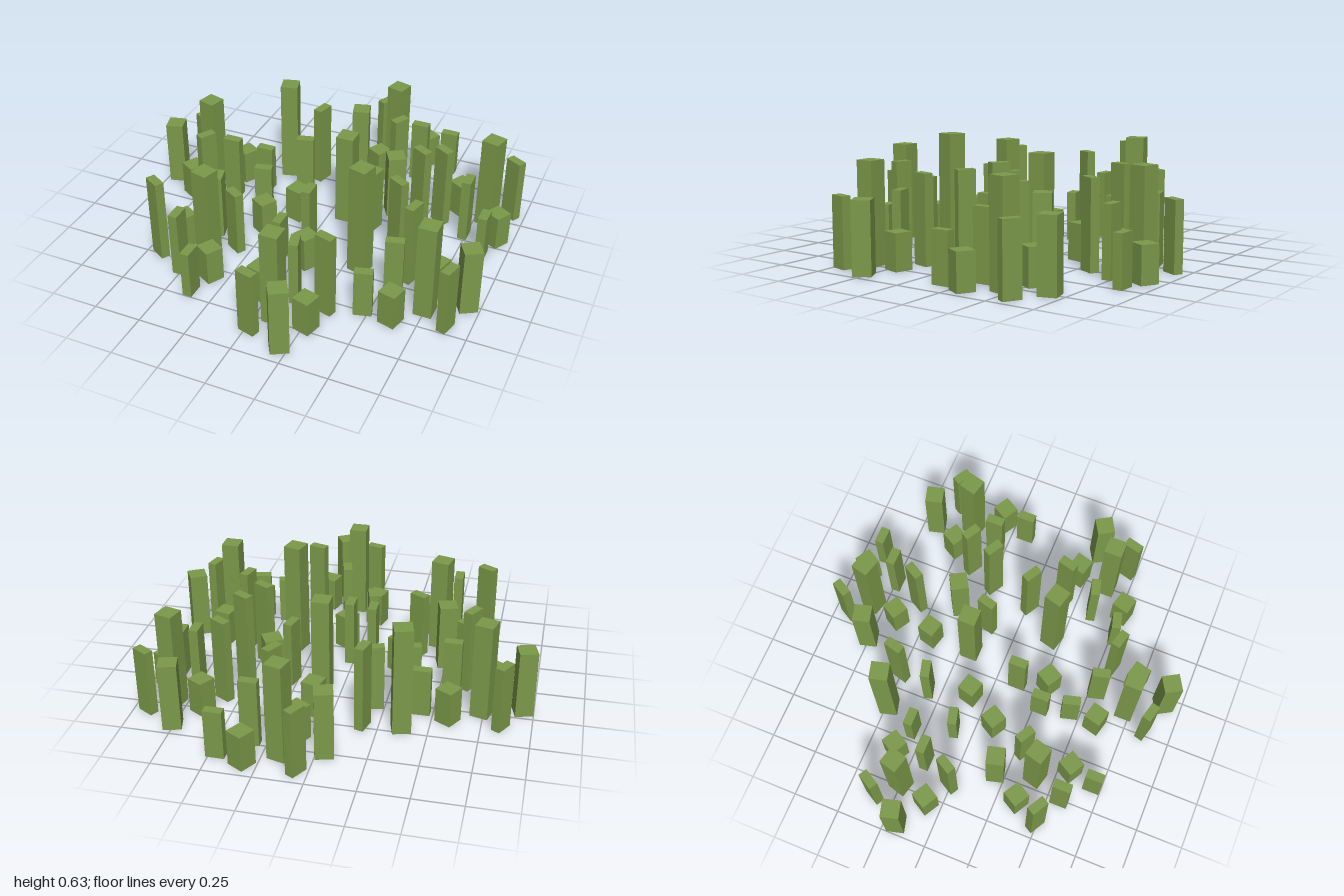
import * as THREE from 'three';

const WIDE = 0.094, THIN = 0.048;

// Blades of one tuft: x, z, height, turn in degrees (x towards z), depth
const TUFT = [
  [0, 0, 0.525, 0, WIDE],
  [-0.13, 0.135, 0.19, 15, WIDE],
  [0, -0.17, 0.19, 15, WIDE],
  [0.18, -0.11, 0.365, -30, WIDE],
  [-0.275, 0.135, 0.26, -15, THIN],
  [-0.18, -0.03, 0.36, -15, THIN],
  [-0.15, -0.205, 0.46, -75, THIN],
  [0.13, 0.075, 0.36, -75, THIN],
];

// Outer tufts: x, z, turn in degrees
const OUTER = [
  [0.75, 0.375, 0],
  [0.095, 0.72, 90],
  [0.815, -0.47, -75],
  [-0.435, 0.4, -75],
  [0.163, -0.81, 195],
  [-0.74, -0.245, 195],
];

// Two loose, spread-out tufts in the middle
const LOOSE_BACK = [
  [0.1, -0.19, 0.525, 0, WIDE],
  [0.09, -0.425, 0.19, 15, WIDE],
  [-0.145, -0.09, 0.19, 15, WIDE],
  [0.32, -0.345, 0.365, -30, WIDE],
  [-0.355, -0.1, 0.26, -15, THIN],
  [-0.2, -0.315, 0.36, -15, THIN],
  [-0.175, -0.495, 0.465, -75, THIN],
  [0.27, -0.16, 0.36, -75, THIN],
];
const LOOSE_FRONT = [
  [0.335, 0.2, 0.62, 15, WIDE],
  [-0.365, -0.48, 0.58, -15, WIDE],
  [-0.26, 0.09, 0.19, 30, WIDE],
  [0.07, 0.28, 0.19, 30, WIDE],
  [-0.075, 0.285, 0.255, 90, THIN],
  [0.015, 0.12, 0.36, 90, THIN],
  [0.505, -0.22, 0.52, 30, THIN],
  [0.465, 0.015, 0.465, 30, THIN],
];

export function createModel() {
  const model = new THREE.Group();
  model.name = 'grassPatch';
  const green = new THREE.MeshStandardMaterial({ color: 0x7b9849 });
  green.name = 'grassGreen';

  const addTuft = (name, blades, x, y, z, turn) => {
    const tuft = new THREE.Group();
    tuft.name = name;
    tuft.position.set(x, y, z);
    tuft.rotation.y = -THREE.MathUtils.degToRad(turn);
    for (const [bx, bz, height, angle, depth] of blades) {
      const blade = new THREE.Mesh(new THREE.BoxGeometry(WIDE, height, depth), green);
      blade.name = depth === WIDE ? 'wideBlade' : 'thinBlade';
      blade.position.set(bx, height / 2, bz);
      blade.rotation.y = -THREE.MathUtils.degToRad(angle);
      tuft.add(blade);
    }
    model.add(tuft);
  };

  for (const [x, z, turn] of OUTER) addTuft('outerTuft', TUFT, x, 0, z, turn);

  // The middle tufts sit slightly higher
  addTuft('looseTuftBack', LOOSE_BACK, 0, 0.01, 0, 0);
  addTuft('looseTuftFront', LOOSE_FRONT, 0, 0.01, 0, 0);
  return model;
}
